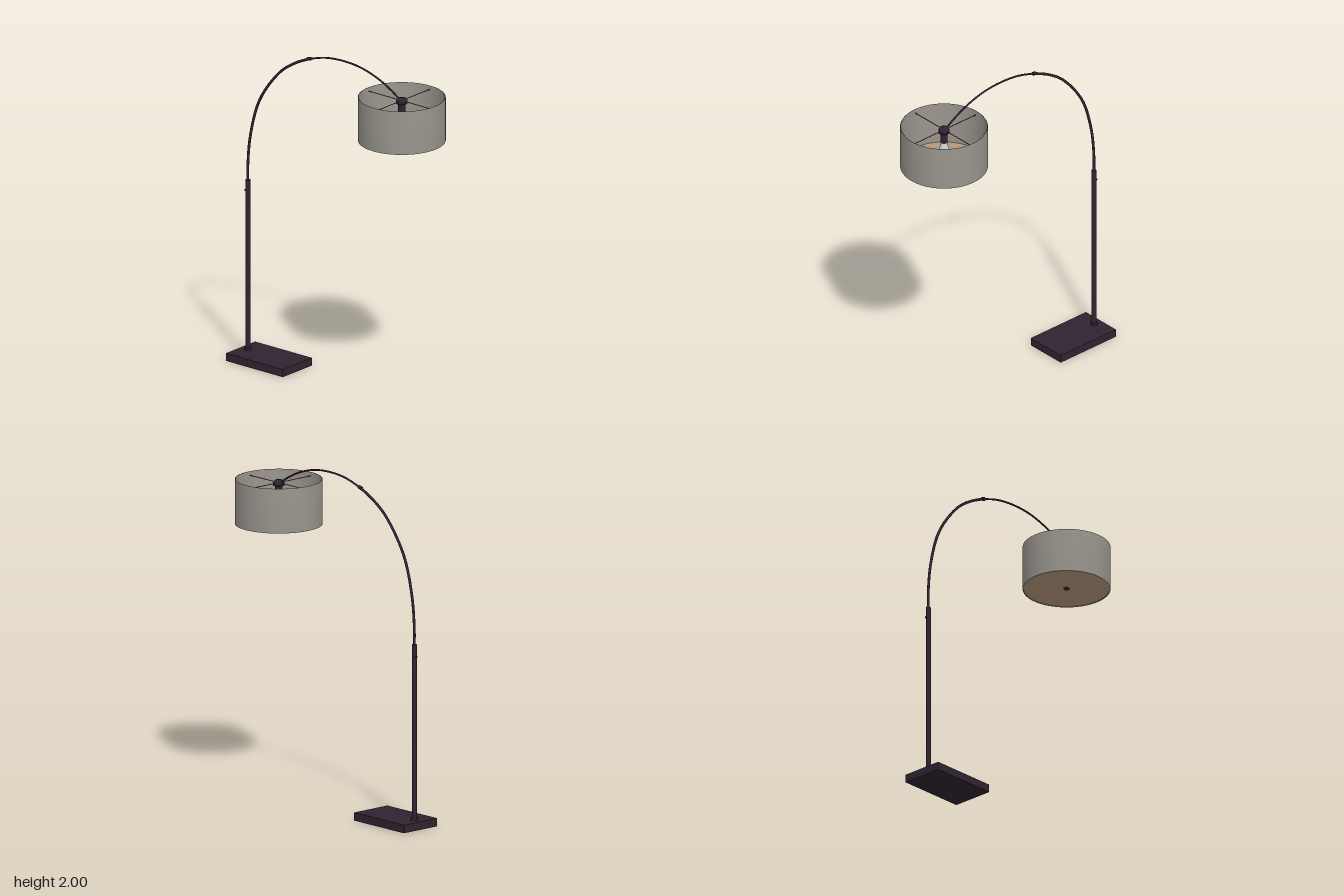
import * as THREE from 'three';

const mat = (name, color, side = THREE.FrontSide) => {
  const m = new THREE.MeshStandardMaterial({ color, side });
  m.name = name;
  return m;
};

export function createModel() {
  const lamp = new THREE.Group();
  lamp.name = 'arcFloorLamp';
  const metal = mat('dark bronze', 0x2f2430);
  const fabric = mat('grey fabric', 0x99948d, THREE.DoubleSide);
  const tan = mat('tan diffuser', 0xb6987b, THREE.DoubleSide);
  const brass = mat('brown wire', 0x6b4a34);
  const glass = mat('frosted bulb', 0xd2d0cc);

  const add = (name, geometry, material, x = 0, y = 0, z = 0) => {
    const mesh = new THREE.Mesh(geometry, material);
    mesh.name = name;
    mesh.position.set(x, y, z);
    lamp.add(mesh);
    return mesh;
  };
  const lathe = (pts, segs = 32) =>
    new THREE.LatheGeometry(pts.map(([r, y]) => new THREE.Vector2(r, y)), segs);
  const cyl = (r, h, segs = 24) => new THREE.CylinderGeometry(r, r, h, segs);

  const poleZ = -0.685, shadeZ = 0.483;

  // Base slab, foot collar and upright pole
  add('base', new THREE.BoxGeometry(0.26, 0.048, 0.43), metal, 0, 0.024, -0.525);
  add('footCollar', cyl(0.021, 0.014), metal, 0, 0.055, poleZ);
  add('pole', cyl(0.0145, 1.045), metal, 0, 0.5725, poleZ);
  const knob = add('poleScrew', cyl(0.006, 0.012, 12), metal, 0, 1.025, poleZ - 0.017);
  knob.rotation.x = Math.PI / 2;

  // Curved arm in two telescoping sections, joined by a small collar
  const path = (pts) => new THREE.CatmullRomCurve3(pts.map(([z, y]) => new THREE.Vector3(0, y, z)));
  const lower = path([[poleZ, 1.05], [poleZ, 1.2], [-0.663, 1.39], [-0.594, 1.61],
    [-0.445, 1.81], [-0.33, 1.894], [-0.22, 1.947]]);
  const upper = path([[-0.22, 1.947], [-0.09, 1.983], [0.05, 1.994], [0.18, 1.982],
    [0.31, 1.943], [0.41, 1.893], [shadeZ, 1.845]]);
  add('lowerArm', new THREE.TubeGeometry(lower, 64, 0.008, 12), metal);
  add('upperArm', new THREE.TubeGeometry(upper, 64, 0.0055, 12), metal);
  const joint = add('armJoint', cyl(0.011, 0.022, 16), metal, 0, 1.947, -0.22);
  joint.quaternion.setFromUnitVectors(new THREE.Vector3(0, 1, 0), upper.getTangent(0));

  // Open drum shade with a thin wall, closed below by a diffuser
  add('shade', lathe([[0.249, 1.61], [0.255, 1.61], [0.255, 1.875], [0.249, 1.875], [0.249, 1.61]], 64)
    .toNonIndexed(), fabric, 0, 0, shadeZ);
  add('diffuser', new THREE.CylinderGeometry(0.249, 0.249, 0.004, 64), tan, 0, 1.615, shadeZ);
  add('finial', lathe([[0, 1.604], [0.012, 1.605], [0.017, 1.61], [0.017, 1.614], [0, 1.614]], 24),
    metal, 0, 0, shadeZ);

  // Spider wires from hub to shade wall
  for (let i = 0; i < 4; i++) {
    const a = i * Math.PI / 2;
    const wire = add('spiderWire', cyl(0.0025, 0.25, 8), brass,
      Math.sin(a) * 0.125, 1.853, shadeZ + Math.cos(a) * 0.125);
    wire.rotation.set(Math.PI / 2, 0, -a);
  }

  // Hub, socket and bulb
  add('hub', lathe([[0, 1.837], [0.033, 1.837], [0.033, 1.855], [0.024, 1.868], [0, 1.872]]),
    metal, 0, 0, shadeZ);
  add('socket', cyl(0.021, 0.07), metal, 0, 1.805, shadeZ);
  add('bulb', lathe([[0, 1.665], [0.018, 1.669], [0.031, 1.685], [0.034, 1.705],
    [0.029, 1.73], [0.02, 1.755], [0.017, 1.775]]), glass, 0, 0, shadeZ);

  return lamp;
}
